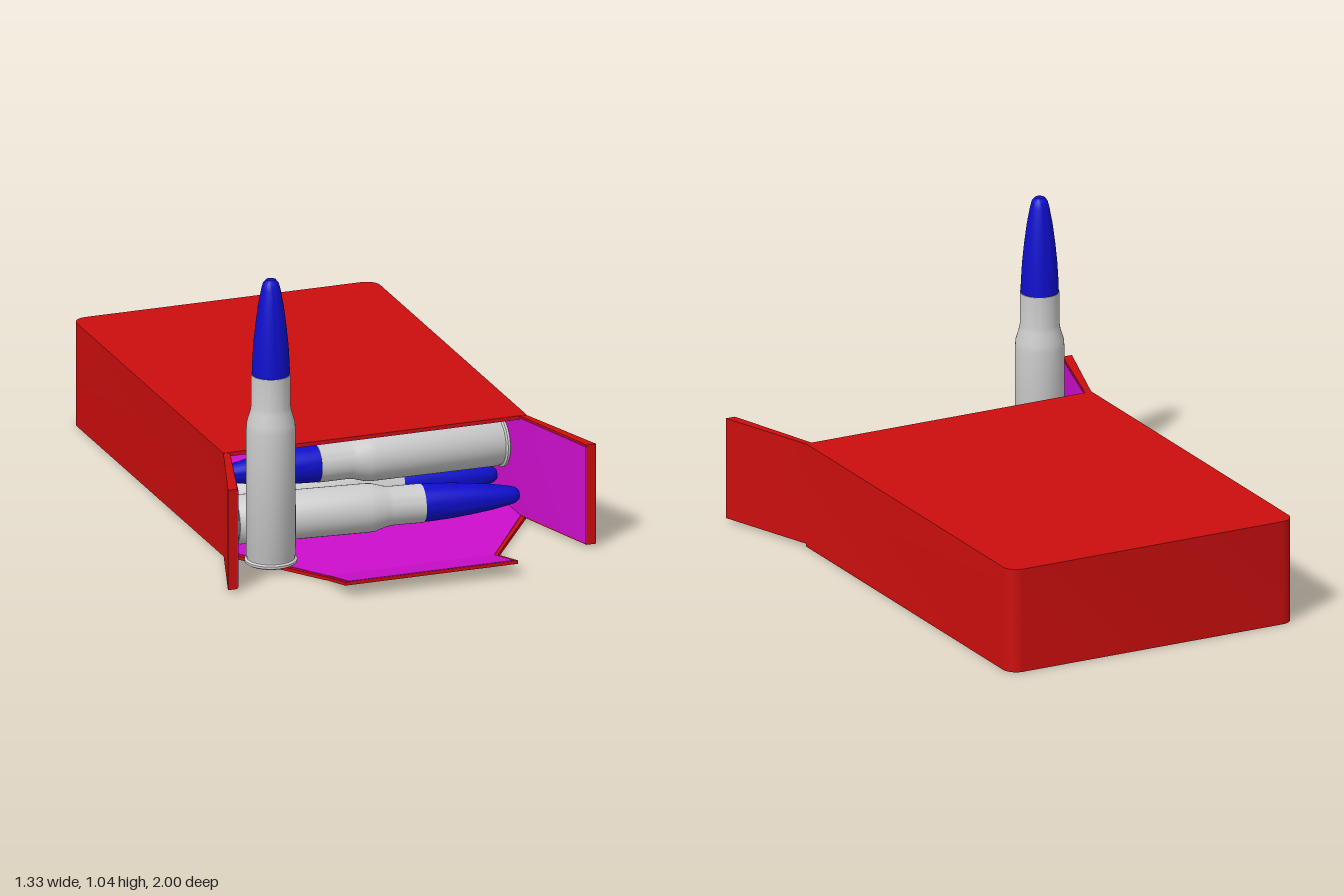
import * as THREE from 'three';
import { toCreasedNormals } from 'three/addons/utils/BufferGeometryUtils.js';

const paint = (color) => new THREE.MeshStandardMaterial({ color });
const RED = paint(0xcc0e0e);
const MAGENTA = paint(0xcc0ecc);
const BLUE = paint(0x0e0ecc);
const GREY = paint(0xcccccc);

const FRONT = 0.455; // z of the open end of the box

function addMesh(parent, name, geometry, material) {
  const mesh = new THREE.Mesh(toCreasedNormals(geometry, 0.5), material);
  mesh.name = name;
  parent.add(mesh);
  return mesh;
}

// Plan-view path from the right front round the back to the left front
function backPath(halfWidth, back, radius) {
  const points = [];
  for (const [side, start] of [[-1, Math.PI], [1, Math.PI * 1.5]]) {
    for (let i = 0; i <= 6; i++) {
      const a = start + (i / 6) * Math.PI / 2;
      points.push([side * (halfWidth - radius) + radius * Math.cos(a), back + radius + radius * Math.sin(a)]);
    }
  }
  return points;
}

// Upright prism from an [x, z] outline between two heights
function plate(outline, bottom, top) {
  const shape = new THREE.Shape(outline.map(([x, z]) => new THREE.Vector2(x, z)));
  return new THREE.ExtrudeGeometry(shape, { depth: top - bottom, bevelEnabled: false })
    .rotateX(Math.PI / 2).translate(0, top, 0);
}

// Sloping strip, swept across x from a [z, y] profile
function strip(profile, halfWidth) {
  const shape = new THREE.Shape(profile.map(([z, y]) => new THREE.Vector2(z, y)));
  return new THREE.ExtrudeGeometry(shape, { depth: halfWidth * 2, bevelEnabled: false })
    .rotateY(-Math.PI / 2).translate(halfWidth, 0, 0);
}

// Side and back walls with splayed flaps: the band between two plan paths
function wallPath(halfWidth, back, radius, flare) {
  return [[-flare, 0.81], [-halfWidth, FRONT], ...backPath(halfWidth, back, radius), [halfWidth, FRONT], [flare, 0.81]];
}

function cartridge(name, position, direction) {
  const group = new THREE.Group();
  group.name = name;
  const lathe = (points) => new THREE.LatheGeometry(points.map(([r, y]) => new THREE.Vector2(r, y)), 40);
  // rim, extractor groove, body, shoulder and neck
  addMesh(group, 'case', lathe([
    [0, 0], [0.084, 0], [0.09, 0.004], [0.09, 0.012], [0.082, 0.017], [0.082, 0.024], [0.085, 0.03],
    [0.084, 0.48], [0.082, 0.505], [0.07, 0.545], [0.067, 0.565], [0.067, 0.676], [0.06, 0.676],
  ]), GREY);
  addMesh(group, 'bullet', lathe([
    [0.065, 0.67], [0.064, 0.71], [0.06, 0.78], [0.053, 0.85], [0.044, 0.92],
    [0.033, 0.98], [0.027, 1.003], [0.017, 1.015], [0, 1.019],
  ]), BLUE);
  group.position.set(...position);
  group.quaternion.setFromUnitVectors(new THREE.Vector3(0, 1, 0), new THREE.Vector3(...direction).normalize());
  return group;
}

export function createModel() {
  const model = new THREE.Group();
  model.name = 'openCartridgeBox';

  const box = new THREE.Group();
  box.name = 'box';
  model.add(box);

  // Walls and their coloured inner lining
  const outer = wallPath(0.55, -1, 0.05, 0.667);
  const inner = wallPath(0.526, -0.976, 0.028, 0.632);
  const lining = wallPath(0.524, -0.974, 0.026, 0.629);
  addMesh(box, 'wallsAndSideFlaps', plate([...outer, ...[...inner].reverse()], 0.01, 0.369), RED);
  addMesh(box, 'wallLining', plate([...inner, ...[...lining].reverse()], 0.015, 0.362), MAGENTA);

  // Roof
  const roof = (w, back, r) => [[-w, FRONT], ...backPath(w, back, r), [w, FRONT]];
  addMesh(box, 'roof', plate(roof(0.55, -1, 0.05), 0.358, 0.37), RED);
  addMesh(box, 'roofLining', plate(roof(0.525, -0.975, 0.027), 0.356, 0.358), MAGENTA);

  // Floor narrowing into the front flap
  const floor = (w, back, r, tip) => [[-tip, 0.805], [-w, FRONT], ...backPath(w, back, r), [w, FRONT], [tip, 0.805]];
  addMesh(box, 'floor', plate(floor(0.55, -1, 0.05, 0.313), 0, 0.012), RED);
  addMesh(box, 'floorLining', plate(floor(0.53, -0.976, 0.028, 0.3), 0.012, 0.014), MAGENTA);

  // Raised tuck tab at the end of the floor
  addMesh(box, 'tuckTab', strip([[0.8, 0], [1, 0.045], [1, 0.057], [0.8, 0.012]], 0.313), RED);
  addMesh(box, 'tuckTabLining', strip([[0.8, 0.012], [0.997, 0.0563], [0.997, 0.0585], [0.8, 0.014]], 0.3), MAGENTA);

  // One cartridge upright, the others stacked head to tail
  model.add(
    cartridge('standingCartridge', [-0.44, 0.021, 0.62], [0, 1, 0]),
    cartridge('frontCartridge', [-0.515, 0.113, 0.42], [1, 0, 0.1]),
    cartridge('upperCartridge', [0.497, 0.254, 0.36], [-1, 0.004, 0]),
    cartridge('rearCartridge', [-0.515, 0.113, 0.22], [1, 0, 0.08]),
  );
  return model;
}
